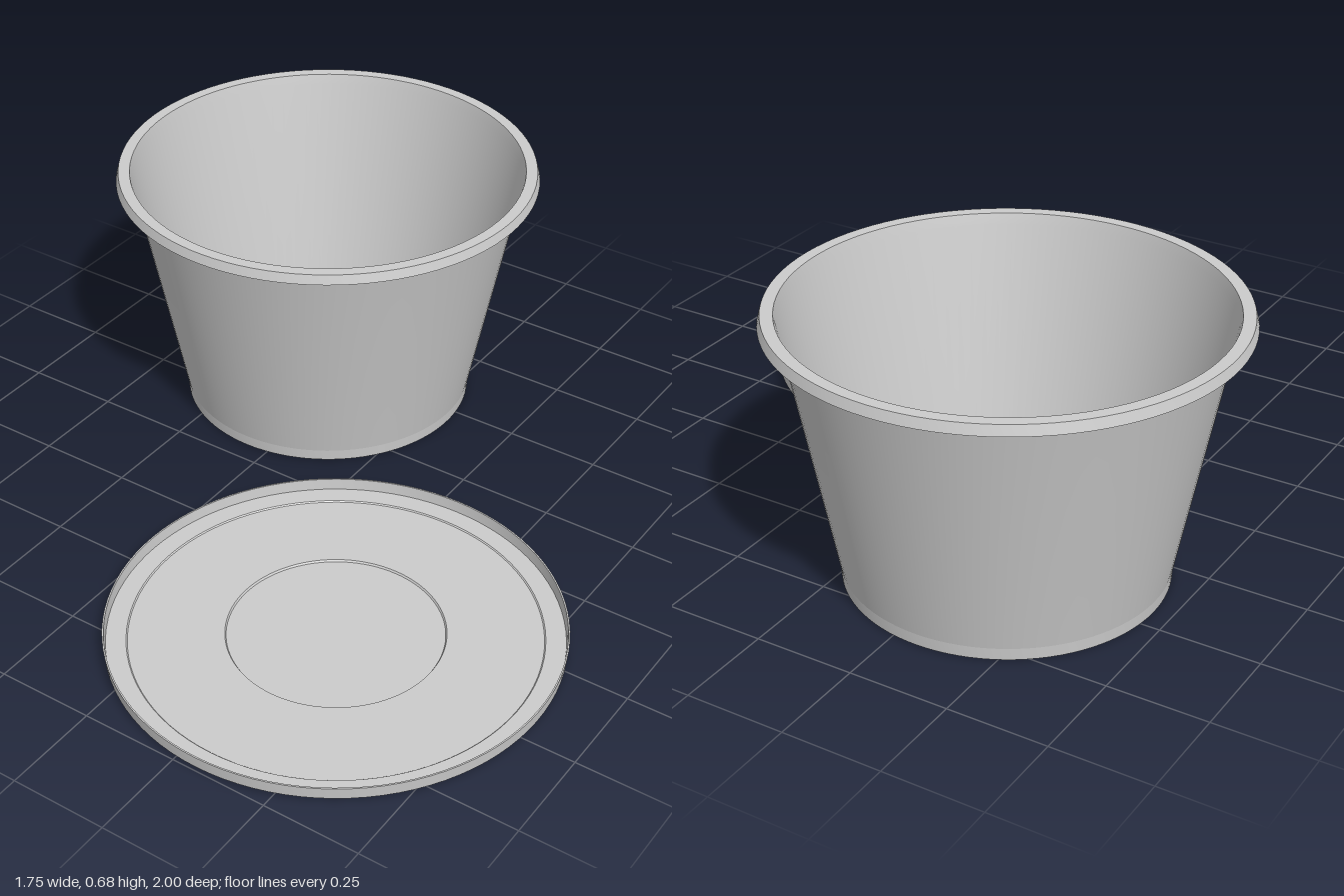
import * as THREE from 'three';
import { toCreasedNormals } from 'three/addons/utils/BufferGeometryUtils.js';

const material = new THREE.MeshStandardMaterial({ color: 0xcccccc, side: THREE.DoubleSide });

// Thin moulded sheet turned about the vertical axis, with sharp folds
function turned(name, profile) {
  const points = profile.map(([r, y]) => new THREE.Vector2(r, y));
  const geometry = toCreasedNormals(new THREE.LatheGeometry(points, 96), 0.35);
  const mesh = new THREE.Mesh(geometry, material);
  mesh.name = name;
  return mesh;
}

export function createModel() {
  const model = new THREE.Group();
  model.name = 'tubWithLid';

  // Tub: thin tapered wall, recessed floor, foot ring and overhanging rim
  const tub = new THREE.Group();
  tub.name = 'tub';
  tub.position.set(-0.315, 0, -0.445);
  tub.add(
    turned('tubFloor', [[0, 0.037], [0.232, 0.037], [0.24, 0.034], [0.248, 0.025], [0.256, 0.022], [0.378, 0.022], [0.386, 0.024], [0.392, 0.03]]),
    turned('tubFoot', [[0.386, 0.022], [0.386, 0], [0.39, 0], [0.392, 0.03]]),
    turned('tubWall', [[0.392, 0.03], [0.516, 0.655], [0.522, 0.68]]),
    turned('tubRim', [[0.556, 0.655], [0.559, 0.655], [0.552, 0.68], [0.522, 0.68]])
  );
  model.add(tub);

  // Lid: shallow tray with a sunken centre and an upright lip
  const lid = new THREE.Group();
  lid.name = 'lid';
  lid.position.set(0.312, 0, 0.44);
  lid.add(
    turned('lidPanel', [[0, 0.002], [0.264, 0.002], [0.267, 0.007], [0.5, 0.007], [0.503, 0.01], [0.555, 0.01]]),
    turned('lidUnderside', [[0, 0], [0.265, 0], [0.268, 0.005], [0.501, 0.005], [0.504, 0.008], [0.556, 0.008]]),
    turned('lidLip', [[0.556, 0.008], [0.559, 0.04], [0.555, 0.04], [0.552, 0.01]])
  );
  model.add(lid);

  return model;
}
